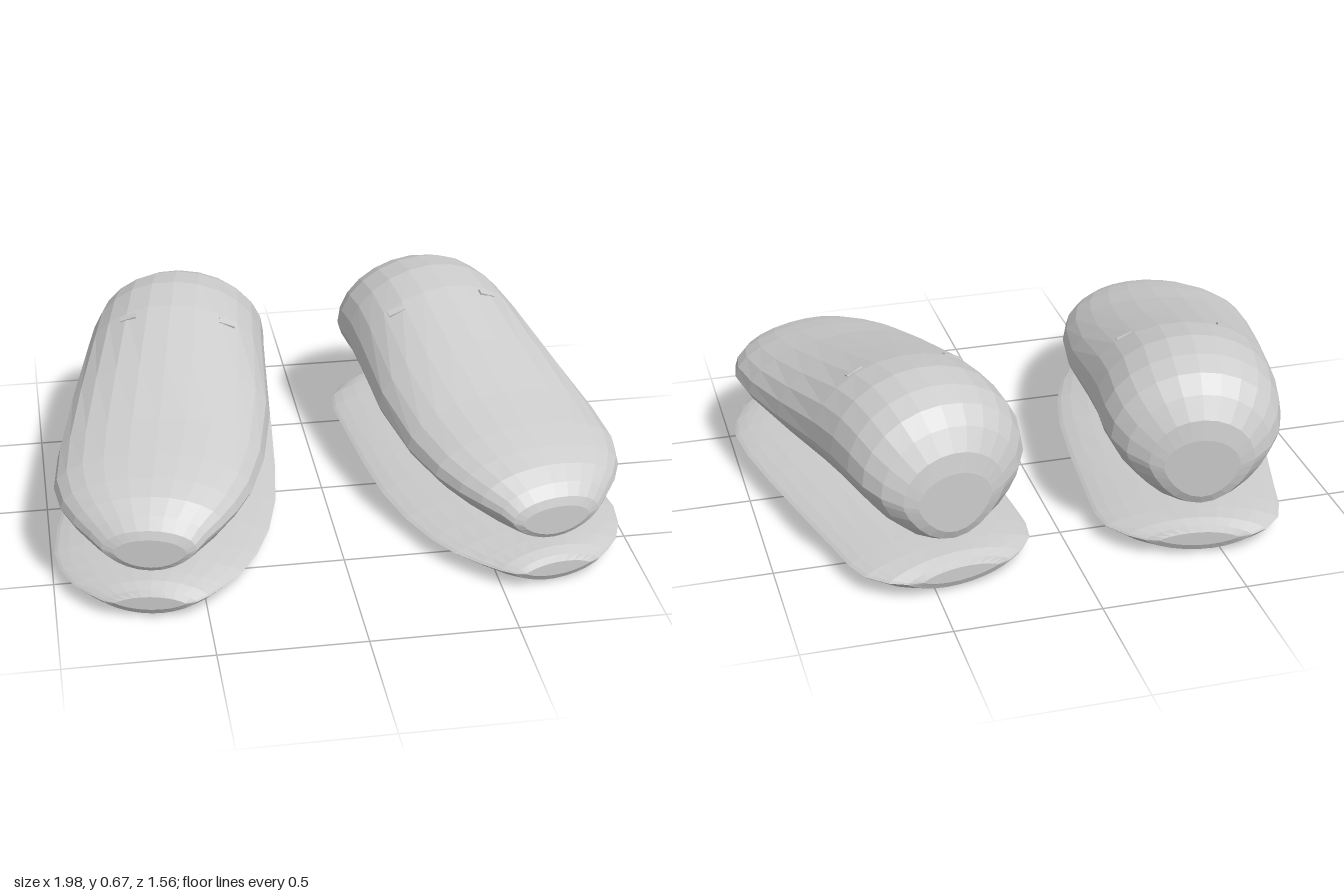
import * as THREE from 'three';

const RING = 24;
const YAW = 10 * Math.PI / 180;   // each shoe toes outward
const CENTRE_X = 0.555;

// Cross-sections from heel to toe: [z, inner half width, outer half width, bottom, top, widest height]
const UPPER = [
  [-0.752, 0.13, 0.13, 0.215, 0.43, 0.33],
  [-0.74, 0.18, 0.18, 0.185, 0.50, 0.345],
  [-0.70, 0.25, 0.24, 0.168, 0.575, 0.37],
  [-0.64, 0.295, 0.28, 0.165, 0.628, 0.395],
  [-0.56, 0.318, 0.30, 0.165, 0.66, 0.415],
  [-0.44, 0.325, 0.312, 0.165, 0.673, 0.42],
  [-0.29, 0.338, 0.322, 0.163, 0.65, 0.405],
  [0.0, 0.365, 0.345, 0.158, 0.565, 0.365],
  [0.27, 0.355, 0.357, 0.155, 0.49, 0.33],
  [0.45, 0.322, 0.348, 0.154, 0.45, 0.312],
  [0.56, 0.28, 0.312, 0.152, 0.422, 0.30],
  [0.64, 0.235, 0.26, 0.152, 0.396, 0.29],
  [0.70, 0.185, 0.20, 0.155, 0.36, 0.272],
  [0.73, 0.155, 0.16, 0.168, 0.32, 0.25],
  [0.74, 0.12, 0.12, 0.185, 0.29, 0.24],
];

const SOLE = [
  [-0.775, 0.14, 0.13, 0.04, 0.09, 0.065],
  [-0.765, 0.19, 0.18, 0.018, 0.112, 0.065],
  [-0.73, 0.245, 0.235, 0.006, 0.124, 0.065],
  [-0.66, 0.31, 0.29, 0.005, 0.125, 0.065],
  [-0.57, 0.338, 0.312, 0.005, 0.125, 0.065],
  [-0.45, 0.35, 0.32, 0.005, 0.125, 0.065],
  [-0.14, 0.375, 0.345, 0.005, 0.125, 0.065],
  [0.10, 0.385, 0.362, 0.005, 0.125, 0.065],
  [0.30, 0.37, 0.37, 0.005, 0.125, 0.065],
  [0.46, 0.335, 0.36, 0.005, 0.125, 0.065],
  [0.57, 0.292, 0.325, 0.005, 0.125, 0.065],
  [0.66, 0.235, 0.272, 0.005, 0.125, 0.065],
  [0.72, 0.19, 0.21, 0.006, 0.124, 0.065],
  [0.758, 0.15, 0.16, 0.018, 0.112, 0.065],
  [0.77, 0.115, 0.12, 0.04, 0.09, 0.065],
];

// Closed faceted loft; side mirrors it and flips the faces to match
function loft(sections, topPower, bottomPower, side) {
  const pos = [], index = [];
  const tri = (a, b, c) => index.push(...(side > 0 ? [a, b, c] : [a, c, b]));
  for (const [z, inner, outer, bottom, top, mid] of sections) {
    for (let j = 0; j < RING; j++) {
      const a = j / RING * Math.PI * 2, c = Math.cos(a), s = Math.sin(a);
      const x = c * (c > 0 ? outer : inner);
      const y = s > 0
        ? mid + (top - mid) * Math.pow(s, topPower)
        : mid - (mid - bottom) * Math.pow(-s, bottomPower);
      pos.push(side * x, y, z);
    }
  }
  for (let i = 0; i < sections.length - 1; i++) {
    for (let j = 0; j < RING; j++) {
      const k = (j + 1) % RING, r = i * RING, n = r + RING;
      tri(r + j, r + k, n + k);
      tri(r + j, n + k, n + j);
    }
  }
  // Heel and toe end faces
  const last = sections.length - 1;
  for (const i of [0, last]) {
    const [z, , , bottom, top] = sections[i];
    const centre = pos.length / 3;
    pos.push(0, (bottom + top) / 2, z);
    for (let j = 0; j < RING; j++) {
      const a = i * RING + j, b = i * RING + (j + 1) % RING;
      if (i === last) tri(centre, a, b); else tri(centre, b, a);
    }
  }
  const indexed = new THREE.BufferGeometry();
  indexed.setAttribute('position', new THREE.Float32BufferAttribute(pos, 3));
  indexed.setIndex(index);
  const geometry = indexed.toNonIndexed();
  geometry.computeVertexNormals();
  return geometry;
}

function createShoe(side, material) {
  const shoe = new THREE.Group();
  shoe.name = side > 0 ? 'leftShoe' : 'rightShoe';
  const add = (geometry, name) => {
    const mesh = new THREE.Mesh(geometry, material);
    mesh.name = name;
    shoe.add(mesh);
    return mesh;
  };
  add(loft(UPPER, 1, 1.5, side), 'upper');
  add(loft(SOLE, 1.6, 1.6, side), 'sole');

  // Two small tabs just breaking the surface of the instep
  for (const s of [-1, 1]) {
    const tab = add(new THREE.BoxGeometry(0.06, 0.008, 0.025), 'instepTab');
    tab.position.set(side * (s * 0.178 - 0.025), s > 0 ? 0.612 : 0.594, -0.26);
    tab.rotation.set(0.26, 0, -side * s * 0.4);
  }
  shoe.position.x = side * CENTRE_X;
  shoe.rotation.y = side * YAW;
  return shoe;
}

export function createModel() {
  const model = new THREE.Group();
  model.name = 'pairOfShoes';
  const material = new THREE.MeshStandardMaterial({ color: 0xcccccc });
  material.name = 'lightGrey';
  for (const side of [1, -1]) model.add(createShoe(side, material));
  // Stand on the ground
  for (const shoe of model.children) shoe.position.y = -0.005;
  return model;
}
